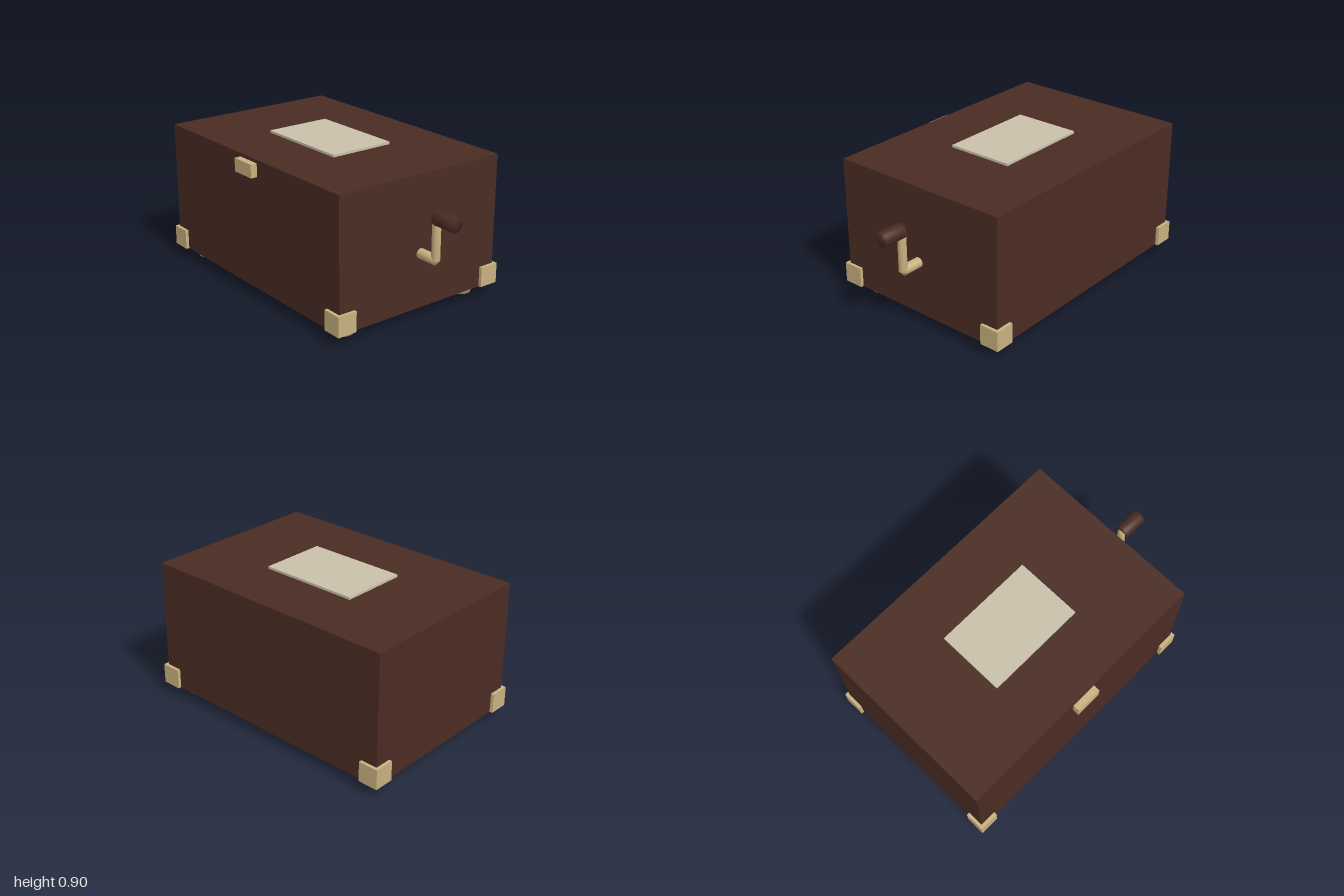
import * as THREE from 'three';
import { mergeVertices } from 'three/addons/utils/BufferGeometryUtils.js';

const CX = -0.129, CZ = -0.011; // centre of the case

function material(name, color) {
  const m = new THREE.MeshStandardMaterial({ color });
  m.name = name;
  return m;
}

// Shares normals across the rims for softly rounded metal and wood
function soften(geometry) {
  geometry.deleteAttribute('uv');
  geometry.deleteAttribute('normal');
  const g = mergeVertices(geometry, 1e-4);
  g.computeVertexNormals();
  return g;
}

export function createModel() {
  const group = new THREE.Group();
  const wood = material('dark wood', 0x4a2c23);
  const brass = material('brass', 0xc9b180);
  const ivory = material('ivory', 0xc9c0a9);

  const add = (name, geometry, mat, x, y, z) => {
    const mesh = new THREE.Mesh(geometry, mat);
    mesh.name = name;
    mesh.position.set(x, y, z);
    group.add(mesh);
    return mesh;
  };
  const box = (name, mat, w, h, d, x, y, z) =>
    add(name, new THREE.BoxGeometry(w, h, d), mat, x, y, z);

  // Case, lid plate and front latch
  box('case', wood, 1.702, 0.819, 1.172, CX, 0.4755, CZ);
  box('lidPlate', ivory, 0.64, 0.02, 0.426, -0.129, 0.89, -0.011);
  box('latch', brass, 0.168, 0.083, 0.06, -0.131, 0.8215, 0.587);

  // Corner guards and feet, mirrored to all four corners
  const footProfile = [[0, 0], [0.058, 0], [0.071, 0.036], [0.066, 0.05], [0.05, 0.067], [0, 0.067]]
    .map(([r, y]) => new THREE.Vector2(r, y));
  const footGeometry = soften(new THREE.LatheGeometry(footProfile, 24));
  for (const sx of [-1, 1]) {
    for (const sz of [-1, 1]) {
      box('cornerGuard', brass, 0.127, 0.126, 0.127, CX + sx * 0.8075, 0.13, CZ + sz * 0.5435);
      add('foot', footGeometry, brass, CX + sx * 0.723, 0, CZ + sz * 0.458);
    }
  }

  // Side crank: shaft, upright arm and turned handle
  const rod = (r, length) => soften(new THREE.CylinderGeometry(r, r, length, 20));
  add('crankShaft', rod(0.031, 0.15), brass, 0.773, 0.407, CZ).rotation.z = -Math.PI / 2;
  add('crankArm', rod(0.026, 0.26), brass, 0.847, 0.535, CZ);
  add('crankHandle', rod(0.046, 0.15), wood, 0.925, 0.662, CZ).rotation.z = -Math.PI / 2;

  return group;
}
